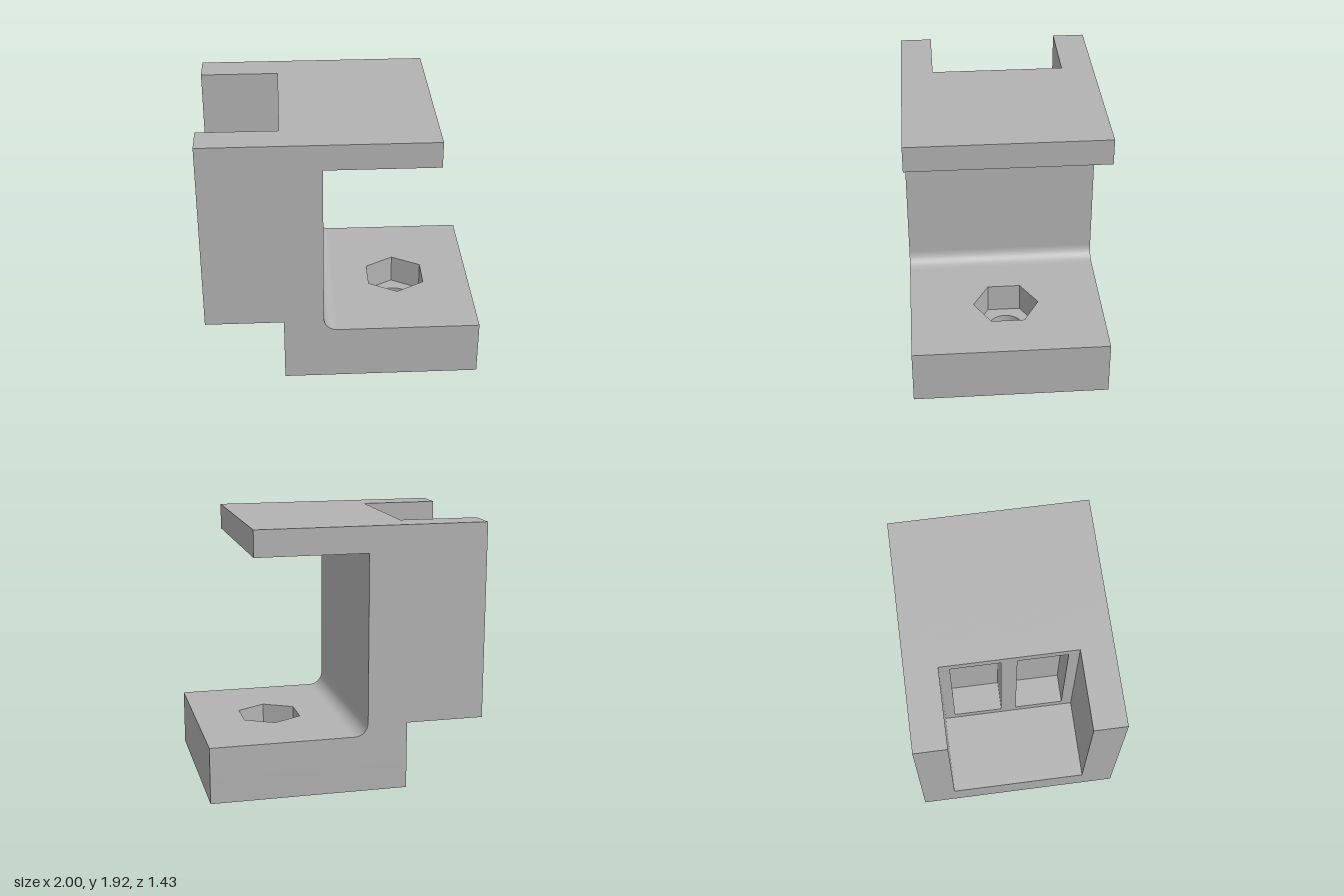
import * as THREE from 'three';
import { toCreasedNormals } from 'three/addons/utils/BufferGeometryUtils.js';

const W = 0.713;                    // half width along z
const XL = -1, XB = -0.43, XW = -0.14, XT = 0.67, XR = 1;
const BASE = 0.41, STEP = 0.49, FLOOR = 0.73, ROOF = 1.73, TOP = 1.92;
const POCKET = 0.48;                // half width of the rear pocket
const SEAT = 0.19;                  // floor of the hexagonal nut recess
const RECESS = -0.22;               // inner end of the two window recesses

function rect(shape, x0, y0, x1, y1) {
  shape.moveTo(x0, y0).lineTo(x1, y0).lineTo(x1, y1).lineTo(x0, y1).closePath();
  return shape;
}

function extrude(shape, depth) {
  const g = new THREE.ExtrudeGeometry(shape, { depth, bevelEnabled: false, curveSegments: 24 });
  return toCreasedNormals(g, 0.5);
}

export function createModel() {
  const group = new THREE.Group();
  group.name = 'mountingBracket';
  const grey = new THREE.MeshStandardMaterial({ color: 0xb2b2b2 });
  grey.name = 'grey';

  const add = (name, geometry) => {
    const mesh = new THREE.Mesh(geometry, grey);
    mesh.name = name;
    group.add(mesh);
  };
  const box = (name, x0, x1, y0, y1, z0, z1) => add(name,
    new THREE.BoxGeometry(x1 - x0, y1 - y0, z1 - z0)
      .translate((x0 + x1) / 2, (y0 + y1) / 2, (z0 + z1) / 2));

  // Foot: round bolt hole below, hexagonal nut recess above
  const cx = 0.44;
  const bolt = new THREE.Path().absarc(cx, 0, 0.13, 0, Math.PI * 2, true);
  const hex = new THREE.Path();
  for (let i = 0; i < 6; i++) {
    const a = Math.PI / 2 - i * Math.PI / 3;
    const x = cx + 0.243 * Math.cos(a), y = 0.243 * Math.sin(a);
    if (i) hex.lineTo(x, y); else hex.moveTo(x, y);
  }
  hex.closePath();
  const layers = [['footLower', bolt, 0, SEAT], ['footUpper', hex, SEAT, BASE]];
  for (const [name, hole, y0, y1] of layers) {
    const plan = rect(new THREE.Shape(), XB, -W, XR, W);
    plan.holes.push(hole);
    add(name, extrude(plan, y1 - y0).rotateX(-Math.PI / 2).translate(0, y0, 0));
  }

  // Upright web with two blind window recesses opening into the pocket
  const face = rect(new THREE.Shape(), -W, BASE, W, TOP);
  for (const z of [-0.405, 0.055]) face.holes.push(rect(new THREE.Path(), z, 0.8, z + 0.35, 1.85));
  add('webWithWindows', extrude(face, RECESS - XB).rotateY(Math.PI / 2).translate(XB, 0, 0));
  box('webFront', RECESS, XW, BASE, TOP, -W, W);

  // Rounded inner corner between web and foot
  const r = 0.1;
  const corner = new THREE.Shape();
  corner.moveTo(XW, BASE).lineTo(XW + r, BASE);
  corner.absarc(XW + r, BASE + r, r, -Math.PI / 2, -Math.PI, true);
  corner.closePath();
  add('fillet', extrude(corner, 2 * W).translate(0, 0, -W));

  // Pocket: two cheeks and a floor, open above and at the end
  box('cheekLeft', XL, XB, STEP, TOP, POCKET, W);
  box('cheekRight', XL, XB, STEP, TOP, -W, -POCKET);
  box('pocketFloor', XL, XB, STEP, FLOOR, -POCKET, POCKET);

  // Overhanging top shelf
  box('topShelf', XW, XT, ROOF, TOP, -W, W);

  return group;
}
